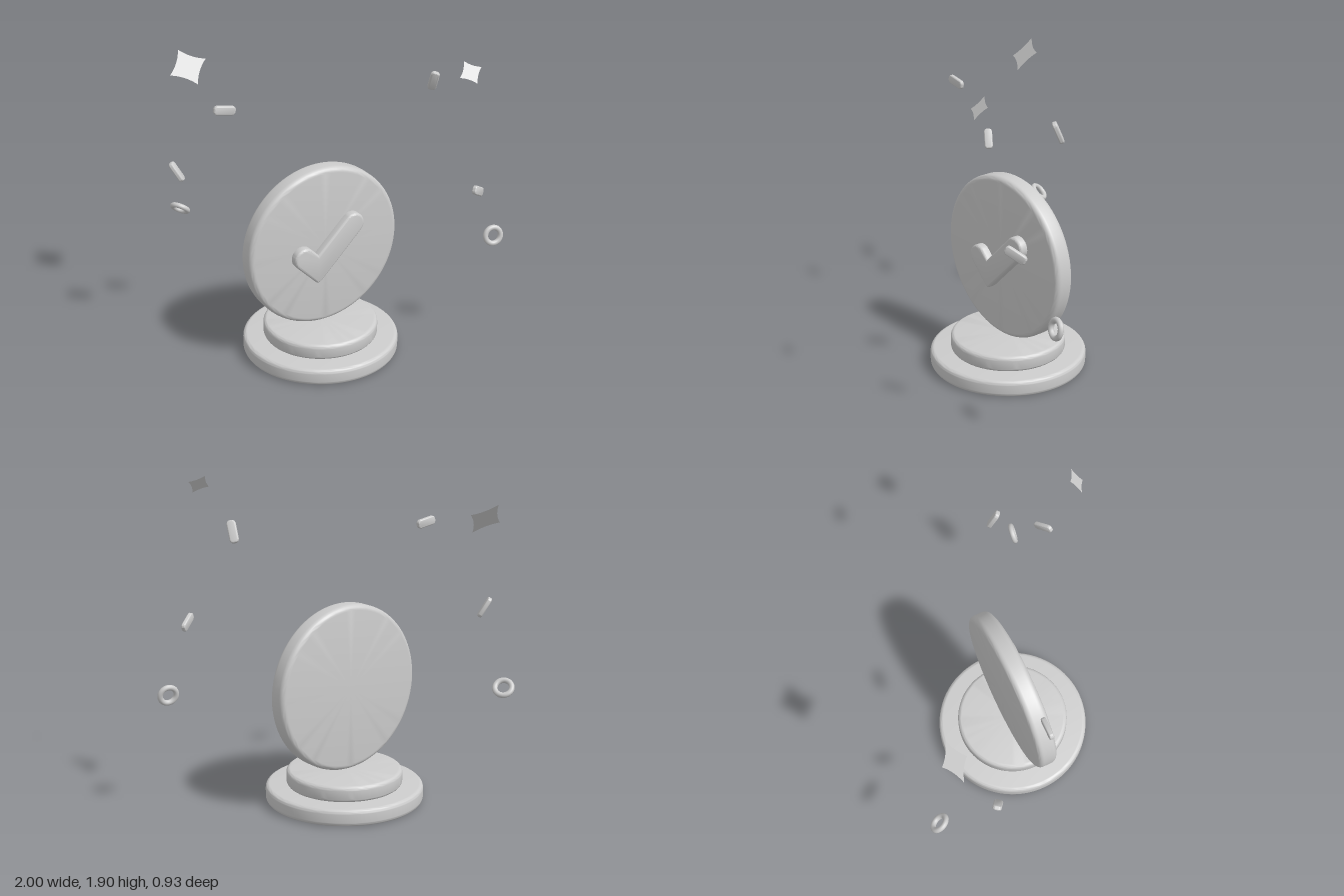
import * as THREE from 'three';
import { toCreasedNormals } from 'three/addons/utils/BufferGeometryUtils.js';

const V = (a) => new THREE.Vector3(...a);

// Disc with rounded rims, lying between y0 and y1
function roundedDisc(r, y0, y1, e) {
  const pts = [new THREE.Vector2(0, y0)];
  for (let i = 0; i <= 6; i++) {
    const a = -Math.PI / 2 + (i / 6) * Math.PI / 2;
    pts.push(new THREE.Vector2(r - e + e * Math.cos(a), y0 + e + e * Math.sin(a)));
  }
  for (let i = 0; i <= 6; i++) {
    const a = (i / 6) * Math.PI / 2;
    pts.push(new THREE.Vector2(r - e + e * Math.cos(a), y1 - e + e * Math.sin(a)));
  }
  pts.push(new THREE.Vector2(0, y1));
  return toCreasedNormals(new THREE.LatheGeometry(pts, 80), 0.6);
}

// Extruded plate with rounded edges that stay inside the outline
function softPlate(shape, depth, bevel) {
  const geo = new THREE.ExtrudeGeometry(shape, {
    depth, bevelEnabled: true, bevelThickness: bevel, bevelSize: bevel,
    bevelOffset: -bevel, bevelSegments: 4, curveSegments: 12,
  });
  return toCreasedNormals(geo, 0.6);
}

// Tick outline: two rounded arms meeting in a mitred corner
function tickShape() {
  const w = 0.067, k = w * Math.SQRT1_2, q = Math.PI / 4;
  const A = [-0.158, -0.027], B = [-0.07, -0.115], C = [0.168, 0.123];
  const tip = B[1] - w * Math.SQRT2;
  const s = new THREE.Shape();
  s.moveTo(B[0] + 0.02, tip + 0.02);
  s.lineTo(C[0] + k, C[1] - k);
  s.absarc(C[0], C[1], w, -q, 3 * q, false);
  s.lineTo(B[0], B[1] + w * Math.SQRT2);
  s.absarc(A[0], A[1], w, q, 5 * q, false);
  s.lineTo(B[0] - 0.02, tip + 0.02);
  s.quadraticCurveTo(B[0], tip, B[0] + 0.02, tip + 0.02);
  return s;
}

// Four-pointed star with curved-in sides
function starShape(r) {
  const s = new THREE.Shape(), c = 0.35 * r;
  s.moveTo(r, 0);
  s.quadraticCurveTo(c, c, 0, r);
  s.quadraticCurveTo(-c, c, -r, 0);
  s.quadraticCurveTo(-c, -c, 0, -r);
  s.quadraticCurveTo(c, -c, r, 0);
  return s;
}

// Rounded bar outline
function pillShape(l, w, r) {
  const x = l / 2 - r, y = w / 2 - r, h = Math.PI / 2;
  const s = new THREE.Shape();
  s.absarc(x, y, r, 0, h, false);
  s.absarc(-x, y, r, h, 2 * h, false);
  s.absarc(-x, -y, r, 2 * h, 3 * h, false);
  s.absarc(x, -y, r, 3 * h, 4 * h, false);
  s.closePath();
  return s;
}

// Turn a mesh so its x axis follows `along` and its y axis leans to `across`
function orient(mesh, along, across) {
  const x = V(along).normalize();
  const z = x.clone().cross(V(across)).normalize();
  const y = z.clone().cross(x);
  mesh.quaternion.setFromRotationMatrix(new THREE.Matrix4().makeBasis(x, y, z));
}

export function createModel() {
  const group = new THREE.Group();
  const grey = new THREE.MeshStandardMaterial({ color: 0xcccccc, side: THREE.DoubleSide });
  grey.name = 'lightGrey';

  const add = (name, geo, pos, parent = group) => {
    const m = new THREE.Mesh(geo, grey);
    m.name = name;
    m.position.set(...pos);
    parent.add(m);
    return m;
  };

  // Two-step pedestal
  add('lowerStep', roundedDisc(0.466, 0, 0.1, 0.025), [-0.022, 0, 0]);
  add('upperStep', roundedDisc(0.343, 0.095, 0.192, 0.025), [-0.022, 0, 0]);

  // Standing medallion with a raised tick
  const medallion = new THREE.Group();
  medallion.name = 'medallion';
  medallion.position.set(-0.022, 0.688, -0.003);
  medallion.rotation.y = Math.PI / 4;
  group.add(medallion);
  add('medallionDisc', roundedDisc(0.493, -0.06, 0.06, 0.032), [0, 0, 0], medallion).rotation.x = Math.PI / 2;
  add('tick', softPlate(tickShape(), 0.045, 0.015), [0, 0, 0.05], medallion);

  // Floating stars
  const star = new THREE.ShapeGeometry(starShape(0.117), 10);
  [[[-0.81, 1.69, -0.037], 1], [[0.823, 1.843, 0.073], 0.61]].forEach(([pos, size]) => {
    const m = add('star', star, pos);
    orient(m, [0.077, 0.03, -0.075], [-0.045, 0.087, -0.055]);
    m.scale.setScalar(size);
  });

  // Floating confetti bars: position, long direction, width direction
  const pill = softPlate(pillShape(0.13, 0.052, 0.022), 0.01, 0.008);
  pill.translate(0, 0, -0.005);
  [
    [[-0.466, 1.603, 0.345], [0.72, -0.17, -0.65], [0.1, 1, -0.1]],
    [[0.56, 1.64, -0.308], [0.24, 0.9, 0.35], [-0.95, 0.2, 0.13]],
    [[-0.82, 1.135, 0.19], [0.5, -0.83, -0.1], [0.1, -0.05, 1]],
    [[0.87, 1.077, -0.113], [0.025, -0.055, -0.1], [0.1, 0.87, -0.45]],
  ].forEach(([pos, along, across]) => orient(add('confettiBar', pill, pos), along, across));

  // Floating rings: position, axis
  const ring = new THREE.TorusGeometry(0.048, 0.016, 12, 36);
  [
    [[-0.936, 0.745, -0.125], [0.13, 0.7, -0.7]],
    [[0.945, 0.702, -0.328], [0.53, 0.2, 0.83]],
  ].forEach(([pos, axis]) => {
    add('ring', ring, pos).quaternion.setFromUnitVectors(V([0, 0, 1]), V(axis).normalize());
  });

  return group;
}
